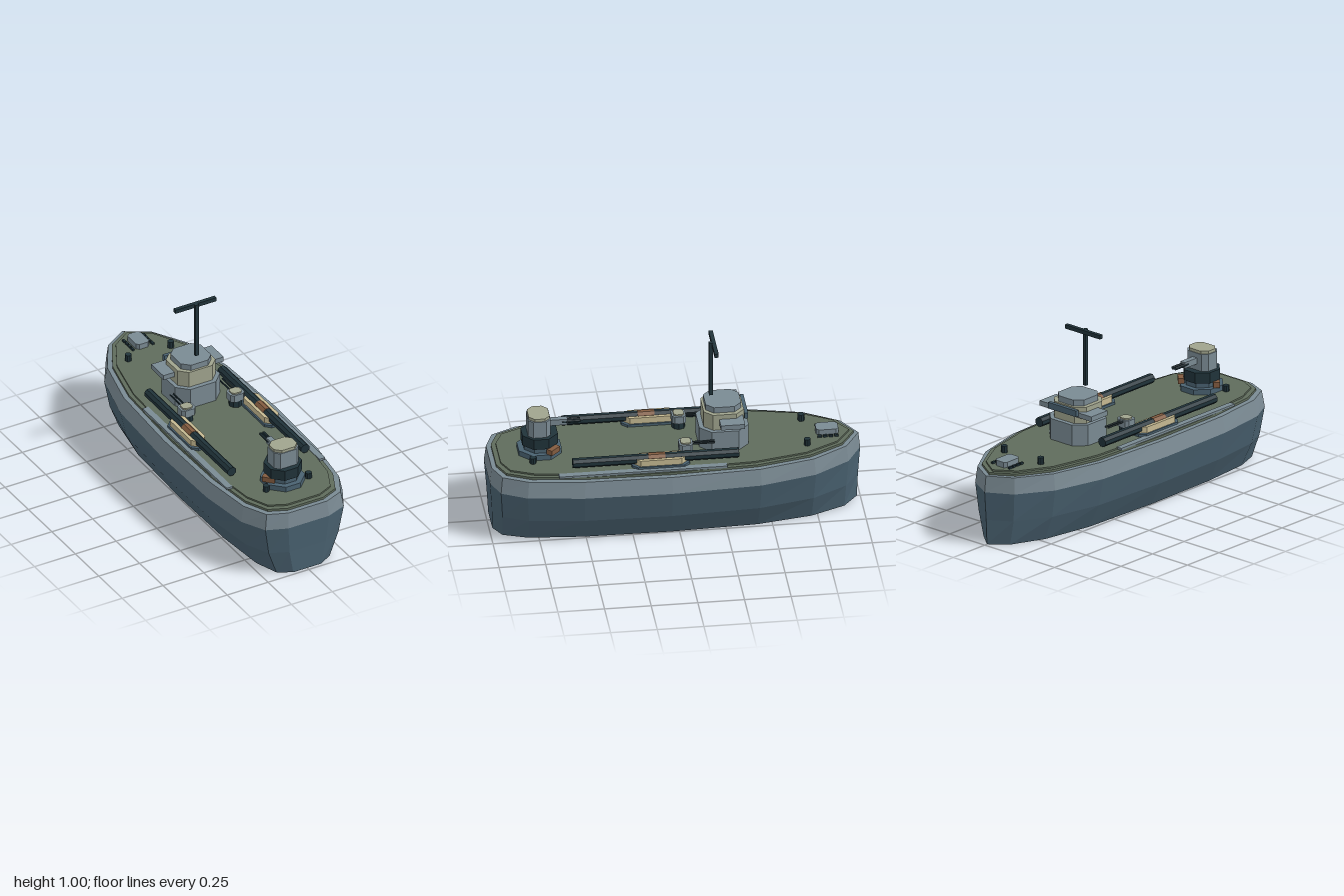
import * as THREE from 'three';

const mat = (name, color, side = THREE.FrontSide) => {
  const m = new THREE.MeshStandardMaterial({ color, side });
  m.name = name;
  return m;
};

export function createModel() {
  const hullBlue = mat('hull blue', 0x4a6271, THREE.DoubleSide);
  const grey = mat('light grey', 0x7a8a93, THREE.DoubleSide);
  const olive = mat('deck olive', 0x5f6c5c);
  const dark = mat('dark steel', 0x20333a);
  const cream = mat('cream grey', 0xa0a48e);
  const tan = mat('tan', 0xc6ba92);
  const brown = mat('brown', 0x835c40);

  const boat = new THREE.Group();
  boat.name = 'patrolBoat';

  // Every surface is faceted
  const add = (parent, name, geometry, material, x = 0, y = 0, z = 0) => {
    const g = geometry.index ? geometry.toNonIndexed() : geometry;
    g.computeVertexNormals();
    const m = new THREE.Mesh(g, material);
    m.name = name;
    m.position.set(x, y, z);
    parent.add(m);
    return m;
  };
  const box = (w, h, d) => new THREE.BoxGeometry(w, h, d);
  const rod = (r, h, sides = 8) => new THREE.CylinderGeometry(r, r, h, sides);
  const rodZ = (r, len, sides = 8) => rod(r, len, sides).rotateY(Math.PI / sides).rotateX(Math.PI / 2);
  // Upright prism from a plan outline of [x, z] points, standing on y = 0
  const prism = (points, h) => {
    const shape = new THREE.Shape(points.map(([x, z]) => new THREE.Vector2(x, -z)));
    return new THREE.ExtrudeGeometry(shape, { depth: h, bevelEnabled: false }).rotateX(-Math.PI / 2);
  };
  // Box with cut corners, standing on y = 0
  const chamfered = (w, h, d, c) => {
    const a = w / 2, b = d / 2;
    return prism([[a, b - c], [a - c, b], [c - a, b], [-a, b - c],
      [-a, c - b], [c - a, -b], [a - c, -b], [a, c - b]], h);
  };

  // Plan outline, bow at -z and stern at +z
  const half = [[0.14, -0.92], [0.26, -0.73], [0.335, -0.43], [0.36, 0.05],
    [0.35, 0.52], [0.31, 0.82], [0.24, 0.955], [0.125, 1]];
  const outline = [[0, -1], ...half, ...half.map(([x, z]) => [-x, z]).reverse()];
  const ring = (sx, sz) => outline.map(([x, z]) => [x * sx, z * sz]);

  // Faceted skin through rings given as [y, x scale, z scale]
  const loft = (levels) => {
    const pos = [], idx = [], n = outline.length;
    levels.forEach(([y, sx, sz]) => ring(sx, sz).forEach(([x, z]) => pos.push(x, y, z)));
    for (let l = 0; l < levels.length - 1; l++) {
      for (let i = 0; i < n; i++) {
        const a = l * n + i, b = l * n + (i + 1) % n;
        idx.push(a, a + n, b, b, a + n, b + n);
      }
    }
    const g = new THREE.BufferGeometry();
    g.setAttribute('position', new THREE.Float32BufferAttribute(pos, 3));
    g.setIndex(idx);
    return g;
  };

  // Hull, open below, with a lighter top strake and rim
  add(boat, 'hull', loft([[0, 0.68, 0.982], [0.14, 0.89, 0.988], [0.3, 1, 1]]), hullBlue);
  add(boat, 'topStrake', loft([[0.3, 1, 1], [0.39, 0.945, 0.99], [0.39, 0.85, 0.95]]), grey);
  add(boat, 'deckEdge', prism(ring(0.865, 0.965), 0.014), olive, 0, 0.389);
  add(boat, 'deck', prism(ring(0.8, 0.94), 0.009), olive, 0, 0.403);

  for (const s of [1, -1]) {
    const side = s > 0 ? 'left' : 'right';
    // Side strips along the deck edge
    add(boat, side + 'DeckStrip', box(0.035, 0.012, 0.9), grey, s * 0.284, 0.409, 0.2);

    // Long tube with a band, resting in a chock
    const tube = new THREE.Group();
    tube.name = side + 'Tube';
    tube.position.set(s * 0.225, 0, 0);
    boat.add(tube);
    add(tube, 'chockBase', chamfered(0.105, 0.016, 0.31, 0.03), hullBlue, 0, 0.41, 0.1);
    add(tube, 'chock', chamfered(0.088, 0.034, 0.28, 0.03), tan, 0, 0.426, 0.1);
    add(tube, 'barrel', rodZ(0.027, 0.89), dark, 0, 0.45, 0.125);
    add(tube, 'band', rodZ(0.029, 0.09), brown, 0, 0.45, 0.12);

    // Small deck gun facing the bow
    const gun = new THREE.Group();
    gun.name = side + 'SmallGun';
    gun.position.set(s * 0.15, 0, -0.045);
    boat.add(gun);
    add(gun, 'pedestal', rod(0.037, 0.04), dark, 0, 0.43);
    add(gun, 'housing', chamfered(0.085, 0.042, 0.075, 0.015), grey, 0, 0.45);
    add(gun, 'housingTop', chamfered(0.06, 0.008, 0.055, 0.012), cream, 0, 0.492);
    for (const b of [-0.01, 0.01]) add(gun, 'gunBarrel', rodZ(0.005, 0.13, 6), dark, b, 0.482, -0.09);

    // Mooring bollards
    add(boat, side + 'BowBollard', rod(0.018, 0.04), dark, s * 0.13, 0.43, -0.7);
    add(boat, side + 'SternBollard', rod(0.018, 0.035), dark, s * 0.13, 0.428, 0.77);

    // Short cleats beside the forward hatch
    for (let i = 0; i < 4; i++) {
      add(boat, side + 'Cleat', box(0.013, 0.012, 0.022), dark, s * 0.06, 0.417, -0.865 + i * 0.03);
    }
  }

  // Forward hatch
  add(boat, 'hatch', chamfered(0.08, 0.033, 0.12, 0.015), grey, 0, 0.41, -0.82);

  // Bridge
  const bridge = new THREE.Group();
  bridge.name = 'bridge';
  bridge.position.z = -0.26;
  boat.add(bridge);
  add(bridge, 'bridgeBase', chamfered(0.275, 0.12, 0.265, 0.06), grey, 0, 0.41);
  add(bridge, 'wheelhouse', chamfered(0.232, 0.092, 0.215, 0.045), cream, 0, 0.53);
  add(bridge, 'roof', chamfered(0.185, 0.034, 0.19, 0.04), grey, 0, 0.621);
  add(bridge, 'bridgeWings', box(0.37, 0.028, 0.13), grey, 0, 0.581, -0.035);
  add(bridge, 'windscreen', box(0.2, 0.035, 0.02), hullBlue, 0, 0.597, -0.117);

  // Mast
  add(boat, 'mast', box(0.02, 0.32, 0.02), dark, 0, 0.845, -0.2);
  add(boat, 'mastCrossbar', box(0.25, 0.022, 0.022), dark, 0, 0.993, -0.215);

  // Stern gun turret
  const turret = new THREE.Group();
  turret.name = 'sternGun';
  turret.position.z = 0.72;
  boat.add(turret);
  add(turret, 'plinth', chamfered(0.22, 0.032, 0.23, 0.065), hullBlue, 0, 0.41);
  add(turret, 'collar', chamfered(0.17, 0.035, 0.17, 0.05), hullBlue, 0, 0.44);
  add(turret, 'turntable', chamfered(0.19, 0.06, 0.19, 0.055), dark, 0, 0.47);
  add(turret, 'gunHouse', chamfered(0.15, 0.096, 0.12, 0.025), grey, 0, 0.53, 0.005);
  add(turret, 'gunHouseTop', chamfered(0.14, 0.016, 0.112, 0.03), cream, 0, 0.626, 0.005);
  add(turret, 'gunSleeve', box(0.032, 0.034, 0.1), grey, 0, 0.582, -0.1);
  for (const b of [-0.009, 0.009]) add(turret, 'gunBarrel', rodZ(0.009, 0.1), dark, b, 0.582, -0.17);
  add(turret, 'crate', box(0.07, 0.03, 0.035), brown, 0.088, 0.457, -0.065).rotation.y = -0.8;
  add(turret, 'crate', box(0.07, 0.03, 0.035), brown, -0.092, 0.457, 0.015).rotation.y = -0.8;

  return boat;
}
